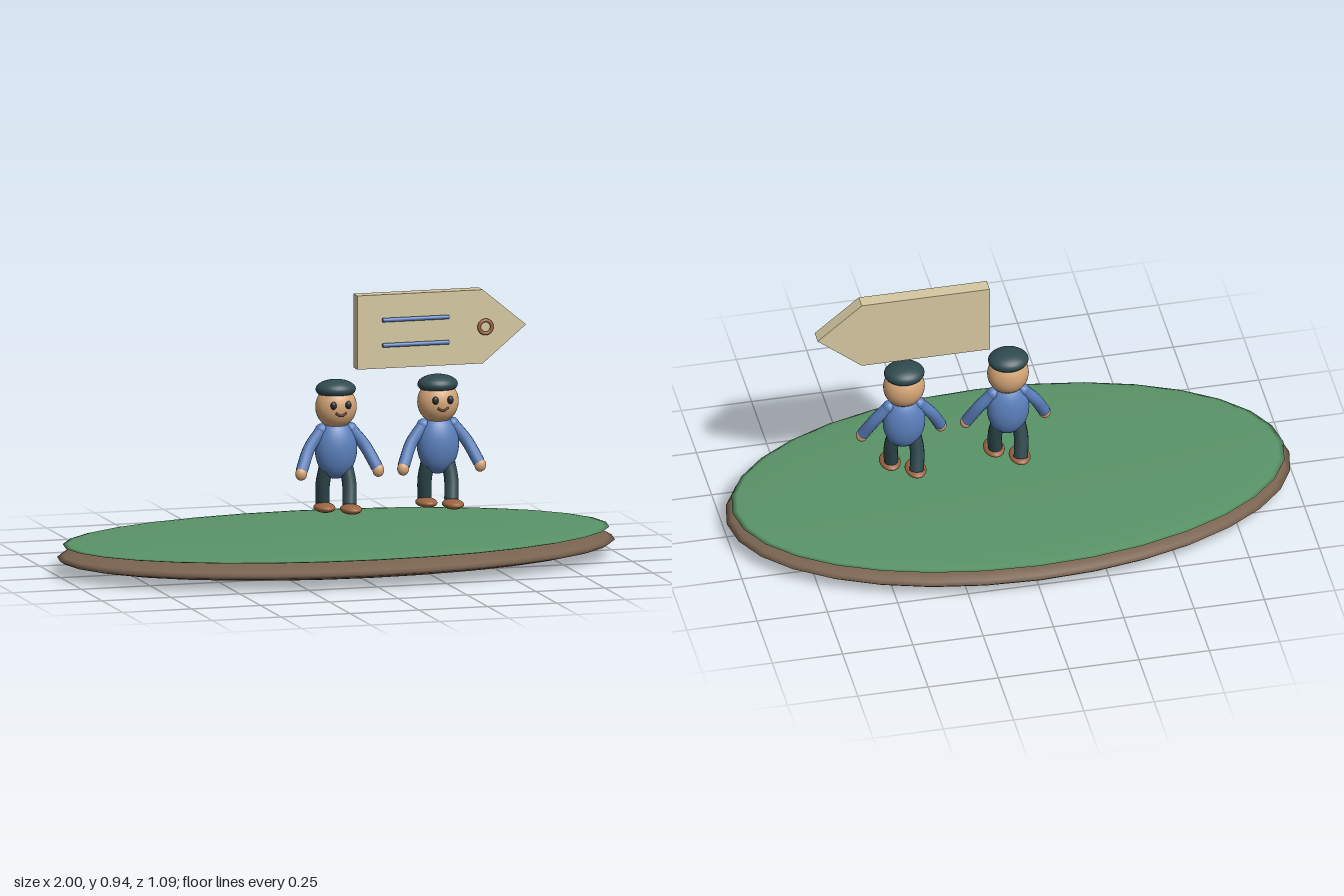
import * as THREE from 'three';

const mat = (name, color, side = THREE.FrontSide) => {
  const m = new THREE.MeshStandardMaterial({ color, side });
  m.name = name;
  return m;
};

export function createModel() {
  const soil = mat('soil brown', 0x7a6350);
  const grass = mat('grass green', 0x5a9468);
  const wood = mat('pale wood', 0xd6c8a2);
  const blue = mat('shirt blue', 0x5b80bd, THREE.DoubleSide);
  const dark = mat('dark teal', 0x2f4a50, THREE.DoubleSide);
  const skin = mat('skin', 0xd6a678);
  const leather = mat('leather brown', 0x9c6542);
  const black = mat('eye black', 0x22282c);
  const lip = mat('mouth brown', 0x6a3c2c);

  const add = (parent, name, geometry, material, x = 0, y = 0, z = 0) => {
    const mesh = new THREE.Mesh(geometry, material);
    mesh.name = name;
    mesh.position.set(x, y, z);
    parent.add(mesh);
    return mesh;
  };
  const ellipsoid = (rx, ry, rz, w = 32, h = 16) =>
    new THREE.SphereGeometry(1, w, h).scale(rx, ry, rz);
  const tube = (points, radius, sides = 12) => new THREE.TubeGeometry(
    new THREE.CatmullRomCurve3(points.map(p => new THREE.Vector3(...p))), 16, radius, sides);

  const model = new THREE.Group();
  model.name = 'signScene';

  // Two stacked flat mounds
  add(model, 'soilBase', ellipsoid(1, 0.055, 0.545), soil, 0, 0.06, 0);
  add(model, 'grassTop', ellipsoid(0.98, 0.018, 0.525), grass, 0, 0.105, 0);

  // Walking figure, left foot forward
  const figure = (name, x) => {
    const g = new THREE.Group();
    g.name = name;
    g.position.x = x;
    model.add(g);

    add(g, 'torso', ellipsoid(0.075, 0.105, 0.054), blue, 0, 0.41, 0);
    add(g, 'head', ellipsoid(0.073, 0.077, 0.063), skin, 0, 0.56, 0);
    add(g, 'cap', ellipsoid(0.071, 0.034, 0.063), dark, 0, 0.621, -0.004);
    add(g, 'mouth', tube([[-0.02, 0.546, 0.061], [0, 0.536, 0.063], [0.02, 0.546, 0.061]], 0.004, 8), lip);

    for (const s of [-1, 1]) {
      const side = s > 0 ? 'left' : 'right';
      add(g, side + 'Eye', ellipsoid(0.011, 0.014, 0.008, 16, 12), black, s * 0.027, 0.573, 0.061);

      // Arms hang outwards and slightly forward
      add(g, side + 'Shoulder', ellipsoid(0.023, 0.023, 0.023, 16, 12), blue, s * 0.053, 0.479, 0);
      add(g, side + 'Arm', tube([[s * 0.053, 0.479, 0], [s * 0.1, 0.42, 0.012], [s * 0.137, 0.345, 0.041]], 0.0215), blue);
      add(g, side + 'Hand', ellipsoid(0.021, 0.024, 0.018, 16, 12), skin, s * 0.14, 0.336, 0.045);

      // Legs stride apart along z
      add(g, side + 'Leg', tube([[s * 0.033, 0.36, 0], [s * 0.043, 0.29, s * 0.016], [s * 0.038, 0.217, s * 0.036]], 0.0255), dark);
      add(g, side + 'Shoe', ellipsoid(0.037, 0.017, 0.055, 24, 12), leather, s * 0.039, 0.204, 0.021 + s * 0.031);
    }
  };
  figure('firstWalker', 0);
  figure('secondWalker', 0.37);

  // Floating arrow sign
  const sign = new THREE.Group();
  sign.name = 'arrowSign';
  model.add(sign);
  const outline = new THREE.Shape([[0.07, 0.69], [0.525, 0.69], [0.682, 0.82], [0.525, 0.95], [0.07, 0.95]]
    .map(p => new THREE.Vector2(...p)));
  add(sign, 'board', new THREE.ExtrudeGeometry(outline, { depth: 0.05, bevelEnabled: false }), wood, 0, 0, -0.024);
  for (const y of [0.862, 0.773]) {
    add(sign, 'rod', new THREE.CylinderGeometry(0.0075, 0.0075, 0.24, 12).rotateZ(Math.PI / 2), blue, 0.278, y, 0.038);
  }
  add(sign, 'ring', new THREE.TorusGeometry(0.023, 0.0065, 10, 24), leather, 0.532, 0.82, 0.036);

  return model;
}
